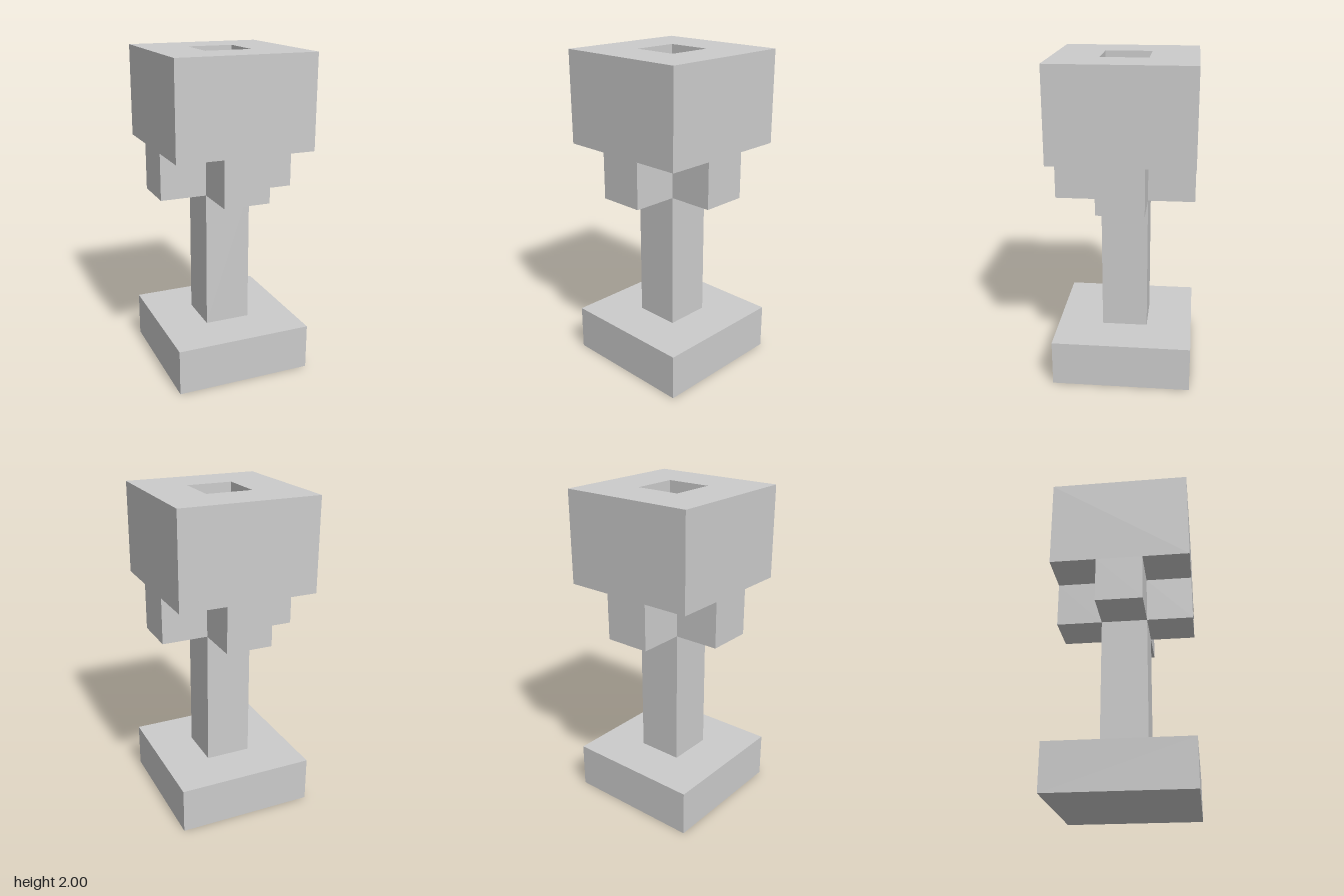
import * as THREE from 'three';

const U = 2 / 7; // one block of the modelling grid

export function createModel() {
  const model = new THREE.Group();
  const material = new THREE.MeshStandardMaterial({ color: 0xcccccc, flatShading: true });

  const add = (name, geometry, y) => {
    const mesh = new THREE.Mesh(geometry, material);
    mesh.name = name;
    mesh.position.y = y;
    model.add(mesh);
  };

  // Upright prism standing on its own y = 0
  const prism = (shape, height) =>
    new THREE.ExtrudeGeometry(shape, { depth: height, bevelEnabled: false }).rotateX(-Math.PI / 2);

  const square = (half) => [[-half, -half], [half, -half], [half, half], [-half, half]]
    .map(([x, y]) => new THREE.Vector2(x, y));

  // Square foot and column
  add('base', new THREE.BoxGeometry(3 * U, U, 3 * U), U / 2);
  add('stem', new THREE.BoxGeometry(U, 3 * U, U), 2.5 * U);

  // Cross-shaped bracket: one arm outline turned four times
  const a = U / 2, b = 1.5 * U;
  const outline = [];
  for (let i = 0; i < 4; i++) {
    for (const [x, y] of [[b, -a], [b, a], [a, a]]) {
      outline.push(new THREE.Vector2(x, y).rotateAround(new THREE.Vector2(), i * Math.PI / 2));
    }
  }
  add('bracket', prism(new THREE.Shape(outline), U), 4 * U);

  // Hollow head with a square well down to the bracket
  const head = new THREE.Shape(square(b));
  head.holes.push(new THREE.Path(square(a).reverse()));
  add('head', prism(head, 2 * U), 5 * U);

  return model;
}
